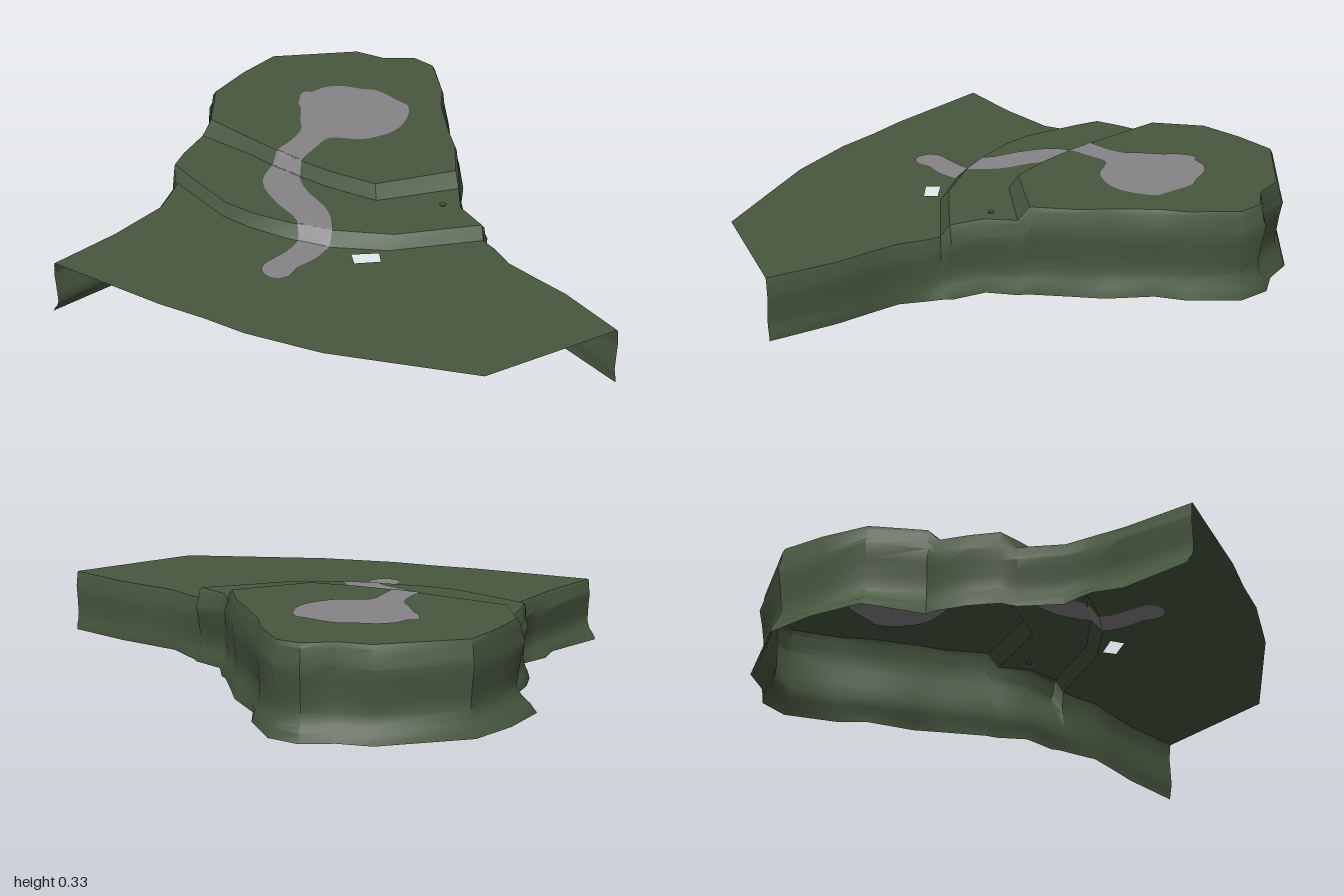
import * as THREE from 'three';
import { toCreasedNormals } from 'three/addons/utils/BufferGeometryUtils.js';

const LOW = 0.23, MID = 0.275, HIGH = 0.325;

// Crest and foot lines of the two slopes between terraces, as [x, z], left to right
const crest1 = [[-0.83, -0.075], [-0.6, -0.035], [-0.5, -0.02], [-0.38, -0.005], [-0.25, 0], [-0.08, -0.012], [0.13, -0.23]];
const foot1 = [[-0.84, -0.03], [-0.6, -0.01], [-0.5, 0.01], [-0.38, 0.022], [-0.25, 0.027], [-0.06, 0.015], [0.16, -0.2]];
const crest2 = [[-0.82, 0.18], [-0.74, 0.215], [-0.52, 0.295], [-0.4, 0.302], [-0.25, 0.285], [-0.1, 0.25], [0.1, 0.165], [0.34, -0.04]];
const foot2 = [[-0.78, 0.225], [-0.74, 0.24], [-0.52, 0.318], [-0.4, 0.328], [-0.25, 0.32], [-0.1, 0.295], [0.1, 0.205], [0.36, -0.015]];

// Rim between those lines, as [x, z, flare of the cliff foot]
const lowLeft = [[-0.87, 0.85, 0.04], [-0.79, 0.6, 0.02], [-0.77, 0.5, 0.045], [-0.745, 0.38, 0.02]];
const midLeft = [[-0.835, 0.08, 0.03]];
const highBack = [[-0.925, -0.25, 0.075], [-0.91, -0.42, 0.06], [-0.875, -0.58, 0.04], [-0.61, -0.775, 0.045], [-0.49, -0.785, 0.05],
  [-0.39, -0.845, 0.04], [-0.3, -0.83, 0.035], [-0.18, -0.69, 0.03], [-0.13, -0.59, 0.02], [-0.02, -0.45, 0.04], [0.05, -0.37, 0.02]];
const midRight = [[0.22, -0.1, 0.02]];
const lowRight = [[0.42, 0.01, 0.01], [0.5, 0.06, 0], [0.62, 0.09, 0], [0.75, 0.12, 0], [0.99, 0.215, 0.01]];
const frontEdge = [[0.72, 0.65], [0.2, 0.81], [-0.08, 0.85], [-0.25, 0.85], [-0.42, 0.86]];

const first = a => a[0];
const last = a => a[a.length - 1];
const flip = a => [...a].reverse();

// Surface through rows of [x, y, z]; rows run downwards, columns left to right
function grid(rows, crease = 0.6) {
  const n = rows[0].length, index = [];
  for (let j = 0; j < rows.length - 1; j++) {
    for (let i = 0; i < n - 1; i++) {
      const a = j * n + i, b = a + n;
      index.push(a, b, a + 1, b, b + 1, a + 1);
    }
  }
  const g = new THREE.BufferGeometry();
  g.setAttribute('position', new THREE.Float32BufferAttribute(rows.flat(2), 3));
  g.setIndex(index);
  return toCreasedNormals(g, crease);
}

// Flat terrace from a plan outline
function terrace(points, y, hole) {
  const plan = pts => pts.map(p => new THREE.Vector2(p[0], -p[1]));
  const shape = new THREE.Shape(plan(points));
  if (hole) shape.holes.push(new THREE.Path(plan(hole)));
  return new THREE.ShapeGeometry(shape).rotateX(-Math.PI / 2).translate(0, y, 0);
}

function slope(crest, foot, top, bottom) {
  return grid([crest.map(p => [p[0], top, p[1]]), foot.map(p => [p[0], bottom, p[1]])]);
}

// Height of the ground where the path runs
function lineZ(line, x) {
  for (let i = 1; i < line.length; i++) {
    const [x0, z0] = line[i - 1], [x1, z1] = line[i];
    if (x <= x1) return z0 + (z1 - z0) * (x - x0) / (x1 - x0);
  }
  return last(line)[1];
}
function groundY(x, z) {
  const step = (crest, foot) => {
    const a = lineZ(crest, x), b = lineZ(foot, x);
    return THREE.MathUtils.clamp((z - a) / (b - a), 0, 1);
  };
  return HIGH - (HIGH - MID) * step(crest1, foot1) - (MID - LOW) * step(crest2, foot2);
}

// Weathered cliff swept around the rim, open at the front
function cliff() {
  const at = (pts, y) => pts.map(p => ({ x: p[0], z: p[1], y, flare: p[2] ?? 0.025 }));
  const rim = [
    ...at([...lowLeft, first(foot2)], LOW),
    ...at([first(crest2), ...midLeft, first(foot1)], MID),
    ...at([first(crest1), ...highBack, last(crest1)], HIGH),
    ...at([last(foot1), ...midRight, last(crest2)], MID),
    ...at([last(foot2), ...lowRight], LOW),
  ];
  // [share of height, outward bulge, share of foot flare]
  const profile = [[1, 0, 0], [0.95, 0.008, 0], [0.84, 0.012, 0], [0.76, 0.02, 0], [0.6, 0.012, 0],
    [0.42, 0.006, 0], [0.28, 0, 0.05], [0.17, 0.003, 0.25], [0.1, 0.004, 0.6], [0, 0, 1]];
  const rows = profile.map(([t, bulge, foot]) => flip(rim.map((p, i) => {
    const a = rim[Math.max(i - 1, 0)], b = rim[Math.min(i + 1, rim.length - 1)];
    const dx = b.x - a.x, dz = b.z - a.z, len = Math.hypot(dx, dz);
    const rough = i > 0 && i < rim.length - 6 ? 1 + 0.5 * Math.sin(i * 2.3) : 0.4;
    const out = bulge * rough + p.flare * foot;
    return [p.x + dz / len * out, p.y * t, p.z - dx / len * out];
  })));
  return grid(rows, 0.7);
}

// Pond and winding path as one draped ribbon; each knot is x, z, half width
function ribbon(lift) {
  const knots = [[-0.43, -0.548, 0], [-0.428, -0.54, 0.08], [-0.422, -0.5, 0.165], [-0.41, -0.44, 0.21], [-0.41, -0.38, 0.22],
    [-0.42, -0.3, 0.185], [-0.435, -0.23, 0.11], [-0.44, -0.18, 0.06], [-0.44, -0.1, 0.052], [-0.445, 0, 0.058],
    [-0.42, 0.08, 0.068], [-0.34, 0.145, 0.065], [-0.22, 0.205, 0.062], [-0.155, 0.28, 0.06], [-0.147, 0.36, 0.055],
    [-0.17, 0.44, 0.05], [-0.177, 0.5, 0.056], [-0.177, 0.535, 0.035], [-0.177, 0.547, 0]];
  const curve = new THREE.CatmullRomCurve3(knots.map(k => new THREE.Vector3(...k)), false, 'centripetal');
  const rows = [], steps = 360, columns = 12;
  for (let j = 0; j <= steps; j++) {
    const p = curve.getPoint(j / steps), t = curve.getTangent(j / steps);
    const len = Math.hypot(t.x, t.y) || 1, half = Math.max(p.z, 0);
    const row = [];
    for (let i = 0; i <= columns; i++) {
      const s = half * (2 * i / columns - 1);
      const x = p.x + t.y / len * s, z = p.y - t.x / len * s;
      row.push([x, groundY(x, z) + lift, z]);
    }
    rows.push(row);
  }
  return grid(rows);
}

export function createModel() {
  const green = new THREE.MeshStandardMaterial({ color: 0x485840, side: THREE.DoubleSide });
  green.name = 'moss green';
  const grey = new THREE.MeshStandardMaterial({ color: 0x878487, side: THREE.DoubleSide });
  grey.name = 'path grey';

  const model = new THREE.Group();
  model.name = 'terracedHill';
  const add = (name, geometry, material) => {
    const mesh = new THREE.Mesh(geometry, material);
    mesh.name = name;
    model.add(mesh);
    return mesh;
  };

  // Terraces, the lowest with a small square opening
  const opening = [[0, 0.29], [0.08, 0.235], [0.11, 0.275], [0.035, 0.33]];
  add('lowerTerrace', terrace([...lowLeft, ...foot2, ...lowRight, ...frontEdge], LOW, opening), green);
  add('middleTerrace', terrace([...crest2, ...midRight, ...flip(foot1), ...midLeft], MID), green);
  add('upperTerrace', terrace([first(crest1), ...highBack, ...flip(crest1).slice(0, -1)], HIGH), green);

  // Slopes and cliff
  add('upperSlope', slope(crest1, foot1, HIGH, MID), green);
  add('lowerSlope', slope(crest2, foot2, MID, LOW), green);
  add('cliffWall', cliff(), green);

  // Path shows on the ground and on the underside of the shell
  add('path', ribbon(0.003), grey);
  add('pathUnderside', ribbon(-0.003), grey);

  // Small peg beside the upper slope
  add('peg', new THREE.CylinderGeometry(0.011, 0.011, 0.008, 12), green).position.set(0.16, MID, -0.08);

  return model;
}
